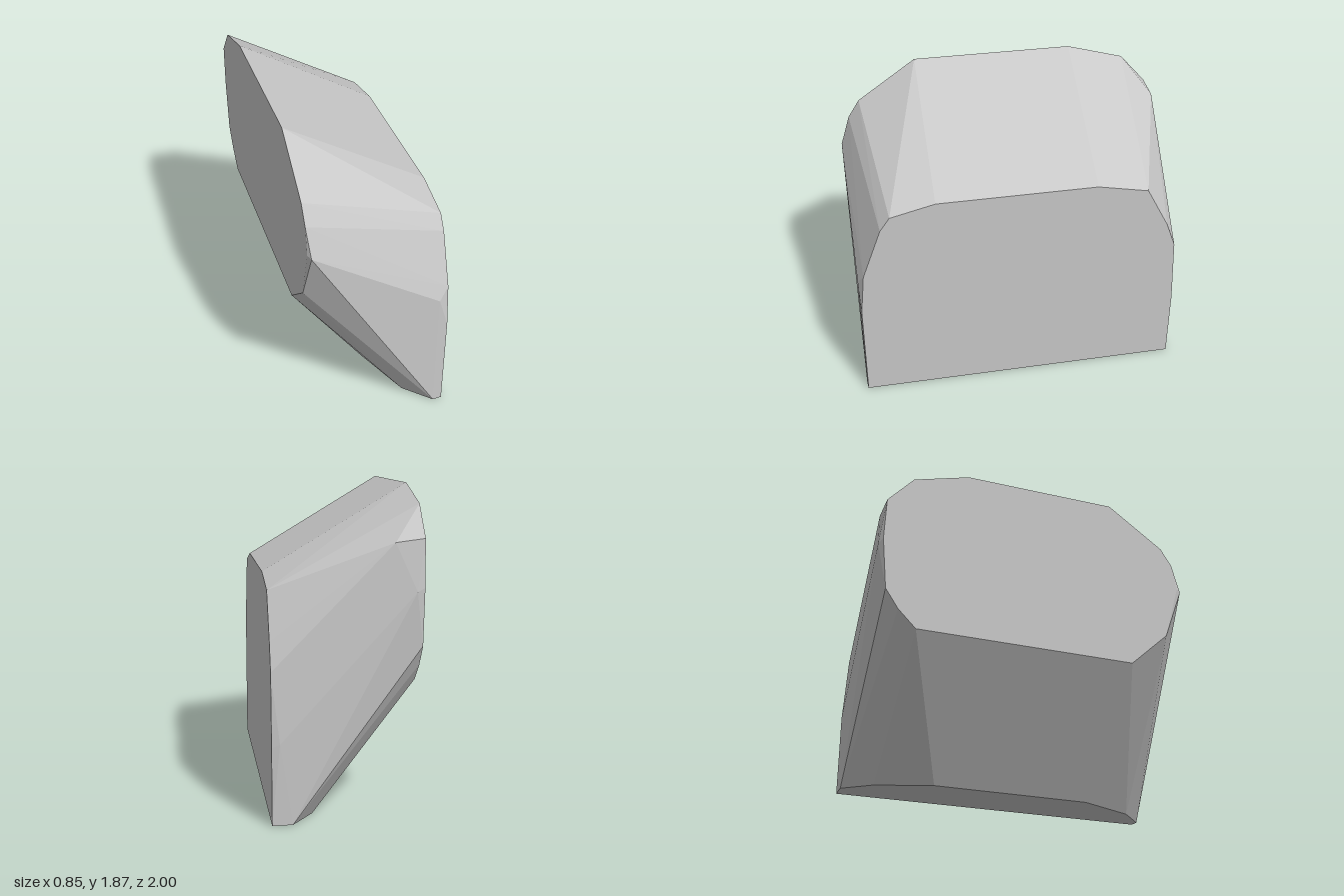
import * as THREE from 'three';
import { ConvexGeometry } from 'three/addons/geometries/ConvexGeometry.js';

export function createModel() {
  const group = new THREE.Group();
  group.name = 'slantedStone';
  const stone = new THREE.MeshStandardMaterial({ color: 0xc8c8c8 });
  stone.name = 'pale grey';
  stone.flatShading = true;

  const points = [];
  const add = (x, y, z) => points.push(new THREE.Vector3(x, y, z));

  // Tall flat left-hand cheek with straight bottom (+x): [y, z]
  [
    [0, 0.995], [0.62, 0.99], [0.89, 0.96], [1.21, 0.84], [1.295, 0.78],
    [1.36, 0.51], [1.36, -0.46], [1.295, -0.77], [1.03, -0.91],
    [0.87, -0.97], [0.45, -0.99], [0, -0.99],
  ].forEach(([y, z]) => add(0.426, y, z));

  // Raised rounded cheek on the other side (-x): [y, z]
  [
    [1.87, 0.51], [1.62, 0.87], [1.51, 0.94], [1.34, 0.97], [0.99, 0.87],
    [0.76, 0.62], [0.76, -0.76], [0.87, -0.87], [0.99, -0.95],
    [1.32, -0.98], [1.59, -0.97], [1.77, -0.81], [1.87, -0.46],
  ].forEach(([y, z]) => add(-0.426, y, z));

  // Flat foot: [x, z]
  [
    [0.37, 1], [0.215, 0.85], [0.065, 0.5],
    [0.065, -0.48], [0.18, -0.82], [0.31, -0.99],
  ].forEach(([x, z]) => add(x, 0, z));

  // Bulging corners of the front and back
  add(-0.41, 1.33, 1);
  add(0.365, 0.82, 0.995);
  add(-0.26, 1.57, -0.975);
  add(-0.38, 1.3, -1);
  add(0.38, 0.47, -1);

  const body = new THREE.Mesh(new ConvexGeometry(points), stone);
  body.name = 'stoneBody';
  group.add(body);
  return group;
}
